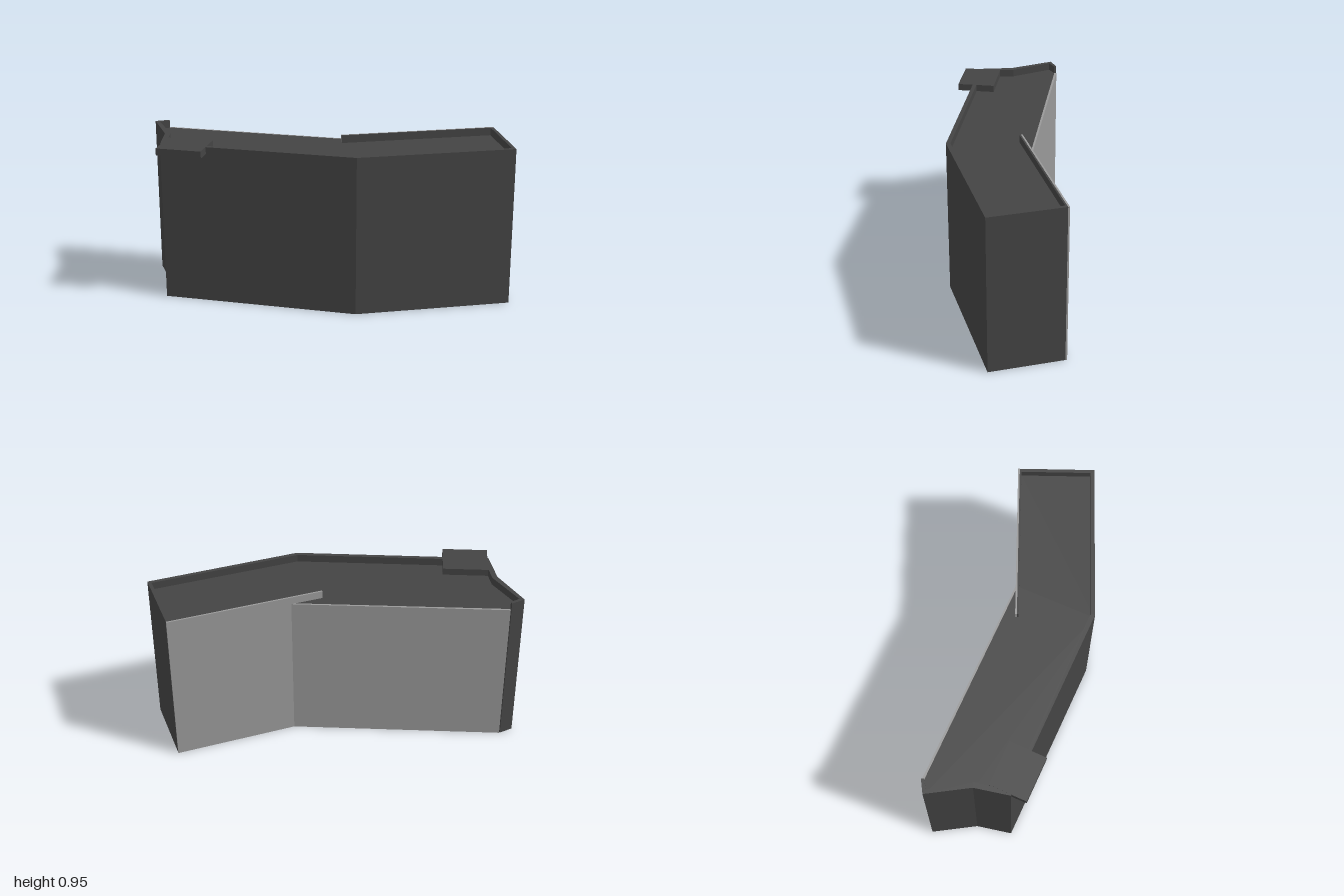
import * as THREE from 'three';

const DARK = new THREE.MeshStandardMaterial({ color: 0x444444 });
const LIGHT = new THREE.MeshStandardMaterial({ color: 0x999999 });

// Upright prism over a plan outline of [x, z] points
function prism(name, points, y0, y1, material = DARK) {
  const shape = new THREE.Shape(points.map(([x, z]) => new THREE.Vector2(x, -z)));
  const geometry = new THREE.ExtrudeGeometry(shape, { depth: y1 - y0, bevelEnabled: false });
  geometry.rotateX(-Math.PI / 2).translate(0, y0, 0);
  const mesh = new THREE.Mesh(geometry, material);
  mesh.name = name;
  return mesh;
}

export function createModel() {
  const model = new THREE.Group();
  model.name = 'angledCounter';
  const top = 0.9, rimTop = 0.945;

  // Outer corners shared by the body and the rim
  const end = [[-0.885, -0.472], [-0.97, -0.46], [-0.93, -0.19], [-0.97, 0.015]];
  const front = [[0.083, 0.468], [1, 0.465]];

  // Counter body with a kinked left end
  model.add(prism('counterBody', [
    ...end, ...front, [1, 0.027], [0.267, 0.027], [-0.885, -0.46],
  ], 0, top));

  // Paler panels along the back
  model.add(prism('backPanels', [
    [1, 0.017], [1, 0.027], [0.267, 0.027], [-0.885, -0.46], [-0.88, -0.472], [0.27, 0.017],
  ], 0, top, LIGHT));

  // Raised rim around the left end, front and right end
  model.add(prism('topRim', [
    ...end, ...front, [1, 0.027],
    [0.98, 0.037], [0.98, 0.443], [0.088, 0.443], [-0.937, 0.004],
    [-0.897, -0.19], [-0.945, -0.442], [-0.885, -0.456],
  ], top, rimTop));

  // Low ledge along the back, running past the bend
  model.add(prism('backLedge', [[0.08, 0.037], [1, 0.037], [1, 0.027], [0.08, 0.027]], top, rimTop));
  model.add(prism('backLedgeFace', [[0.08, 0.027], [1, 0.027], [1, 0.017], [0.08, 0.017]], top, rimTop, LIGHT));

  // Square shelf jutting out over the front left corner
  model.add(prism('cornerShelf', [
    [-1, 0.1], [-0.755, 0.205], [-0.667, 0], [-0.912, -0.105],
  ], 0.905, rimTop + 0.001));

  return model;
}
